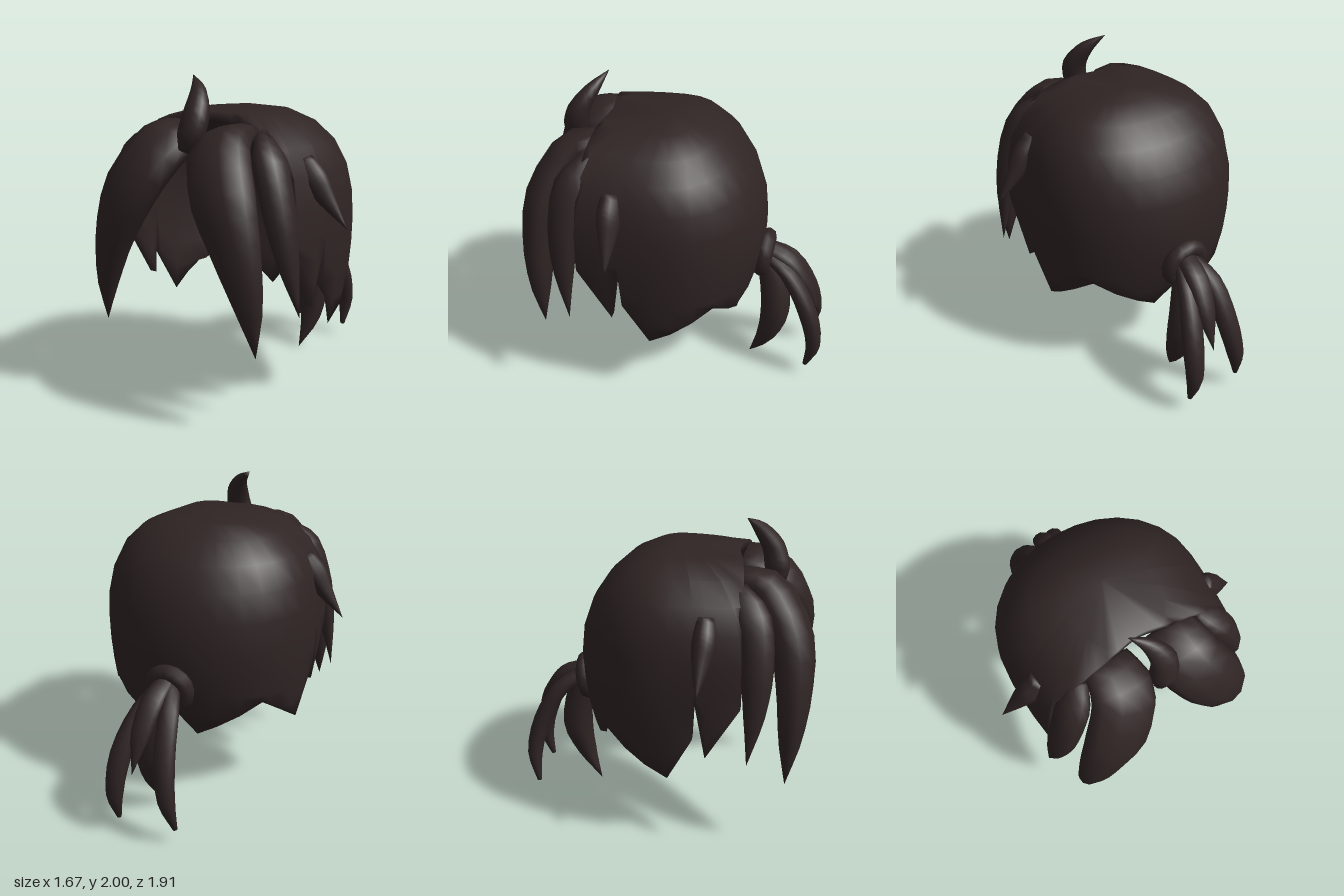
import * as THREE from 'three';
import { mergeVertices } from 'three/addons/utils/BufferGeometryUtils.js';

const hair = new THREE.MeshStandardMaterial({ color: 0x2f2424 });
hair.name = 'dark brown hair';

// Skin a list of closed rings (arrays of Vector3) into one smooth surface
function loft(name, rings) {
  const n = rings[0].length, index = [];
  for (let i = 0; i < rings.length - 1; i++) {
    for (let j = 0; j < n; j++) {
      const a = i * n + j, b = i * n + (j + 1) % n;
      index.push(a, b, a + n, b, b + n, a + n);
    }
  }
  const raw = new THREE.BufferGeometry().setFromPoints(rings.flat());
  raw.setIndex(index);
  const geo = mergeVertices(raw);
  geo.computeVertexNormals();
  const mesh = new THREE.Mesh(geo, hair);
  mesh.name = name;
  return mesh;
}

// Tapered lock: stations are [x, y, z, half width, half depth]; side is the wide direction
function lock(name, stations, side, mirror = 1) {
  const path = new THREE.CatmullRomCurve3(stations.map(s => new THREE.Vector3(s[0] * mirror, s[1], s[2])));
  const size = new THREE.CatmullRomCurve3(stations.map(s => new THREE.Vector3(s[3], s[4], 0)));
  const wide = new THREE.Vector3(side[0] * mirror, side[1], side[2]);
  const steps = 12, sides = 10, rings = [];
  for (let i = 0; i <= steps; i++) {
    const t = i / steps, c = path.getPoint(t), r = size.getPoint(t), tan = path.getTangent(t);
    const u = wide.clone().addScaledVector(tan, -wide.dot(tan)).normalize();
    const v = tan.clone().cross(u);
    const ring = [];
    for (let j = 0; j < sides; j++) {
      const a = j / sides * Math.PI * 2;
      ring.push(c.clone()
        .addScaledVector(u, Math.max(r.x, 0) * Math.cos(a))
        .addScaledVector(v, Math.max(r.y, 0) * Math.sin(a)));
    }
    if (i === 0) rings.push(ring.map(() => c.clone())); // close the root
    rings.push(ring);
    if (i === steps) rings.push(ring.map(() => c.clone())); // close the tip
  }
  return loft(name, rings);
}

// Scalp shell: rounded dome with an inner wall, open at the face, with a jagged hem
function cap() {
  const mid = 1.1, upper = 0.71, front = 1.6, back = 0.62;
  // hem height by azimuth in degrees: 90 is the front, -90 the back
  const hem = [[-90, 0.68], [-77, 0.49], [-38, 0.75], [0.7, 0.49], [6.3, 0.8],
    [6.6, 1.06], [9.4, 0.67], [16.3, 1.02]];
  const half = [];
  for (let k = 0; k < hem.length - 1; k++) {
    const [a0, y0] = hem[k], [a1, y1] = hem[k + 1];
    const cuts = Math.max(1, Math.round((a1 - a0) / 13));
    for (let i = 0; i < cuts; i++) {
      half.push([a0 + (a1 - a0) * i / cuts, y0 + (y1 - y0) * i / cuts]);
    }
  }
  half.push(hem[hem.length - 1]);
  const power = c => 2 + 0.7 * c * c;
  // edge of the face opening, arching over the forehead
  for (let k = 0; k <= 8; k++) {
    const th = Math.atan2(1, 3.3 * (1 - k / 8)), sn = Math.sin(th), p = power(Math.cos(th));
    const s = Math.min(1, (0.46 - 0.09 * sn) / front / sn);
    half.push([th * 180 / Math.PI, mid + upper * Math.pow(1 - Math.pow(s, p), 1 / p)]);
  }
  const columns = [...half, ...half.slice(1, -1).reverse().map(([a, y]) => [180 - a, y])];
  const levels = [0, 15, 30, 45, 60, 75, 90].map(a => mid + upper * Math.cos(a * Math.PI / 180));
  levels.push(0.95, 0.8, 0.65, 0.49);
  const outer = levels.map(level => columns.map(([deg, low]) => {
    const th = deg * Math.PI / 180, c = Math.cos(th), sn = Math.sin(th), p = power(c);
    const y = Math.max(level, low);
    const s = y >= mid
      ? Math.pow(Math.max(0, 1 - Math.pow((y - mid) / upper, p)), 1 / p)
      : Math.sqrt(1 - ((mid - y) / (0.95 + 0.45 * c * c)) ** 2);
    return new THREE.Vector3(0.68 * s * c, y, 0.1 + (sn > 0 ? front : back) * s * sn);
  }));
  // the inner wall turns back up from the hem
  const inner = outer.slice(0, -1).reverse().map(ring => ring.map(p => new THREE.Vector3(
    p.x * 0.92, p.y - 0.06 * Math.max(0, (p.y - mid) / upper), p.z < 0.1 ? 0.1 + (p.z - 0.1) * 0.91 : p.z)));
  return loft('scalpCap', [...outer, ...inner]);
}

export function createModel() {
  const group = new THREE.Group();
  group.name = 'hair';
  group.add(cap());

  // Mirrored locks framing the face
  for (const [m, label] of [[1, 'left'], [-1, 'right']]) {
    group.add(lock(label + 'Bang', [
      [0.21, 1.68, 0.48, 0.15, 0.06], [0.21, 1.6, 0.67, 0.2, 0.115], [0.33, 1.37, 0.81, 0.2, 0.125],
      [0.45, 1.08, 0.85, 0.15, 0.105], [0.53, 0.78, 0.845, 0.085, 0.07], [0.565, 0.49, 0.83, 0, 0]],
    [1, 0.3, -0.25], m));
    group.add(lock(label + 'OuterLock', [
      [0.39, 1.66, 0.49, 0.06, 0.05], [0.5, 1.52, 0.59, 0.11, 0.085], [0.59, 1.25, 0.63, 0.1, 0.08],
      [0.65, 0.98, 0.63, 0.065, 0.05], [0.705, 0.685, 0.6, 0, 0]],
    [-0.3, 0, 1], m));
    group.add(lock(label + 'SideSpike', [
      [0.55, 1.53, 0.33, 0.06, 0.06], [0.62, 1.43, 0.33, 0.075, 0.08], [0.71, 1.31, 0.32, 0.05, 0.05],
      [0.835, 1.155, 0.31, 0, 0]],
    [0, 0, 1], m));
  }

  // Curved tuft above the parting
  group.add(lock('topTuft', [
    [0, 1.58, 0.72, 0.04, 0.04], [0.03, 1.68, 0.7, 0.08, 0.08], [0.045, 1.79, 0.67, 0.08, 0.07],
    [0, 1.91, 0.59, 0.05, 0.045], [-0.1, 2, 0.51, 0, 0]],
  [1, 0, 0]));

  // Ponytail band and locks
  const band = new THREE.Mesh(new THREE.TorusGeometry(0.11, 0.055, 8, 16), hair);
  band.name = 'ponytailBand';
  band.position.set(0, 0.855, -0.515);
  band.rotation.x = -0.15;
  group.add(band);
  const tail = {
    tailFrontLock: [
      [0, 0.88, -0.52, 0.06, 0.06], [0.03, 0.72, -0.58, 0.09, 0.09], [0.06, 0.45, -0.62, 0.115, 0.1],
      [0.08, 0.22, -0.57, 0.075, 0.065], [0.05, 0.005, -0.46, 0, 0]],
    tailMiddleLock: [
      [0.01, 0.91, -0.52, 0.06, 0.05], [0.03, 0.84, -0.68, 0.075, 0.055], [0.05, 0.68, -0.8, 0.065, 0.05],
      [0.06, 0.45, -0.91, 0, 0]],
    tailRightLock: [
      [-0.02, 0.89, -0.52, 0.05, 0.05], [-0.08, 0.78, -0.69, 0.065, 0.055], [-0.11, 0.55, -0.82, 0.07, 0.06],
      [-0.15, 0.3, -0.88, 0.055, 0.05], [-0.19, 0.1, -0.85, 0.015, 0.015]],
    tailLeftLock: [
      [0.03, 0.88, -0.52, 0.05, 0.05], [0.1, 0.77, -0.69, 0.065, 0.055], [0.17, 0.53, -0.84, 0.07, 0.06],
      [0.19, 0.28, -0.9, 0.055, 0.05], [0.19, 0.09, -0.86, 0.015, 0.015]],
  };
  for (const name in tail) group.add(lock(name, tail[name], [1, 0, 0]));
  return group;
}
